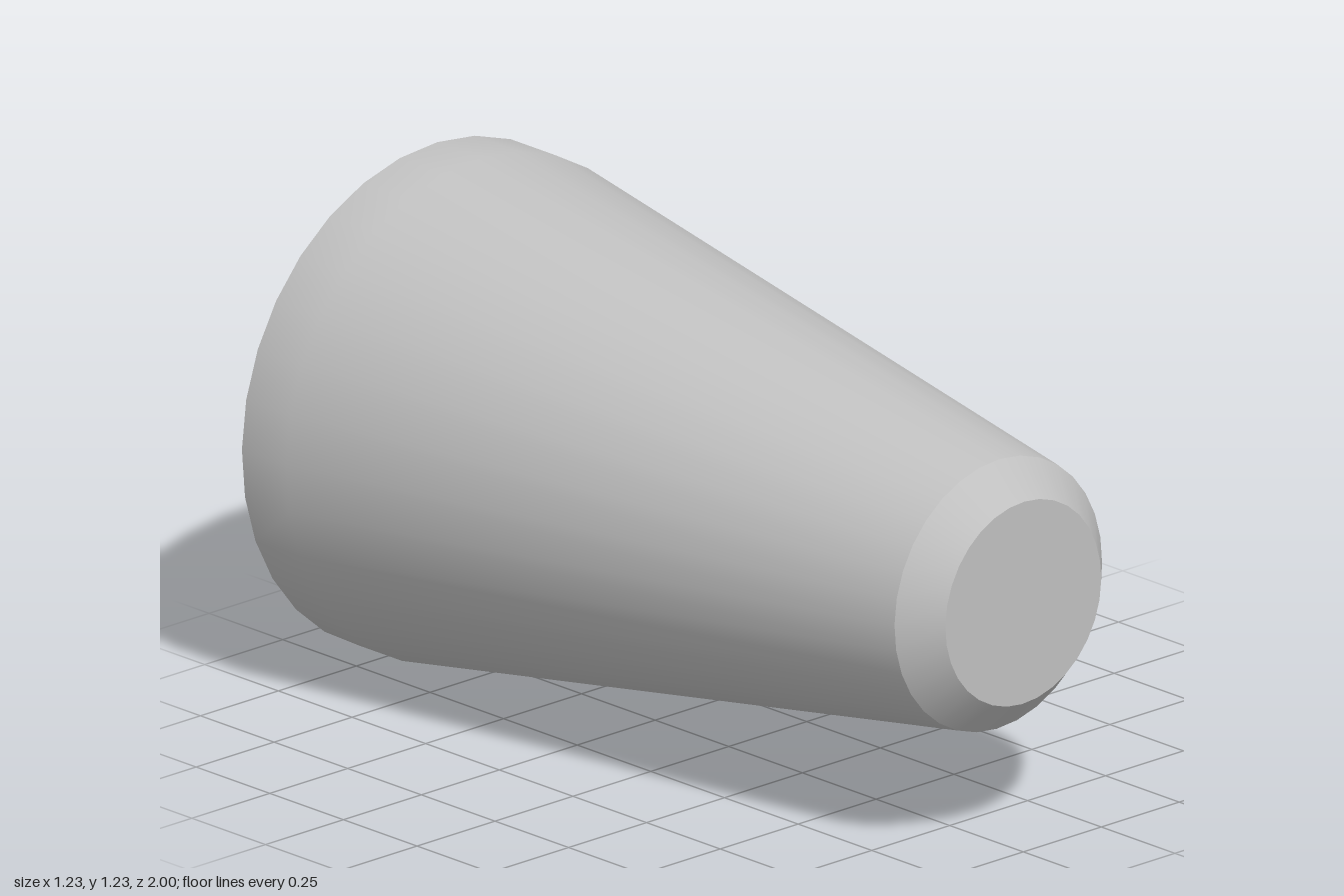
import * as THREE from 'three';

const SIDES = 32;
const RADIUS = 0.617;

export function createModel() {
  const group = new THREE.Group();
  group.name = 'taperedPlug';
  const grey = new THREE.MeshStandardMaterial({ color: 0xc0c0c0 });
  grey.name = 'plain grey';

  // Each profile is [radius, z] from back to front, turned around the z axis.
  // Separate sections keep the rims sharp.
  const addSection = (name, profile) => {
    const points = profile.map(([r, z]) => new THREE.Vector2(r, z));
    const geometry = new THREE.LatheGeometry(points, SIDES, -0.016, Math.PI * 2);
    geometry.rotateX(Math.PI / 2);
    geometry.translate(0, RADIUS, 0);
    const mesh = new THREE.Mesh(geometry, grey);
    mesh.name = name;
    group.add(mesh);
  };

  addSection('backCap', [[0, -1], [RADIUS, -1]]);
  // Short straight collar blending smoothly into the long taper
  addSection('taperedBody', [[RADIUS, -1], [RADIUS, -0.85], [0.333, 0.915]]);
  addSection('frontBevel', [[0.333, 0.915], [0.25, 1]]);
  addSection('frontCap', [[0.25, 1], [0, 1]]);

  return group;
}
